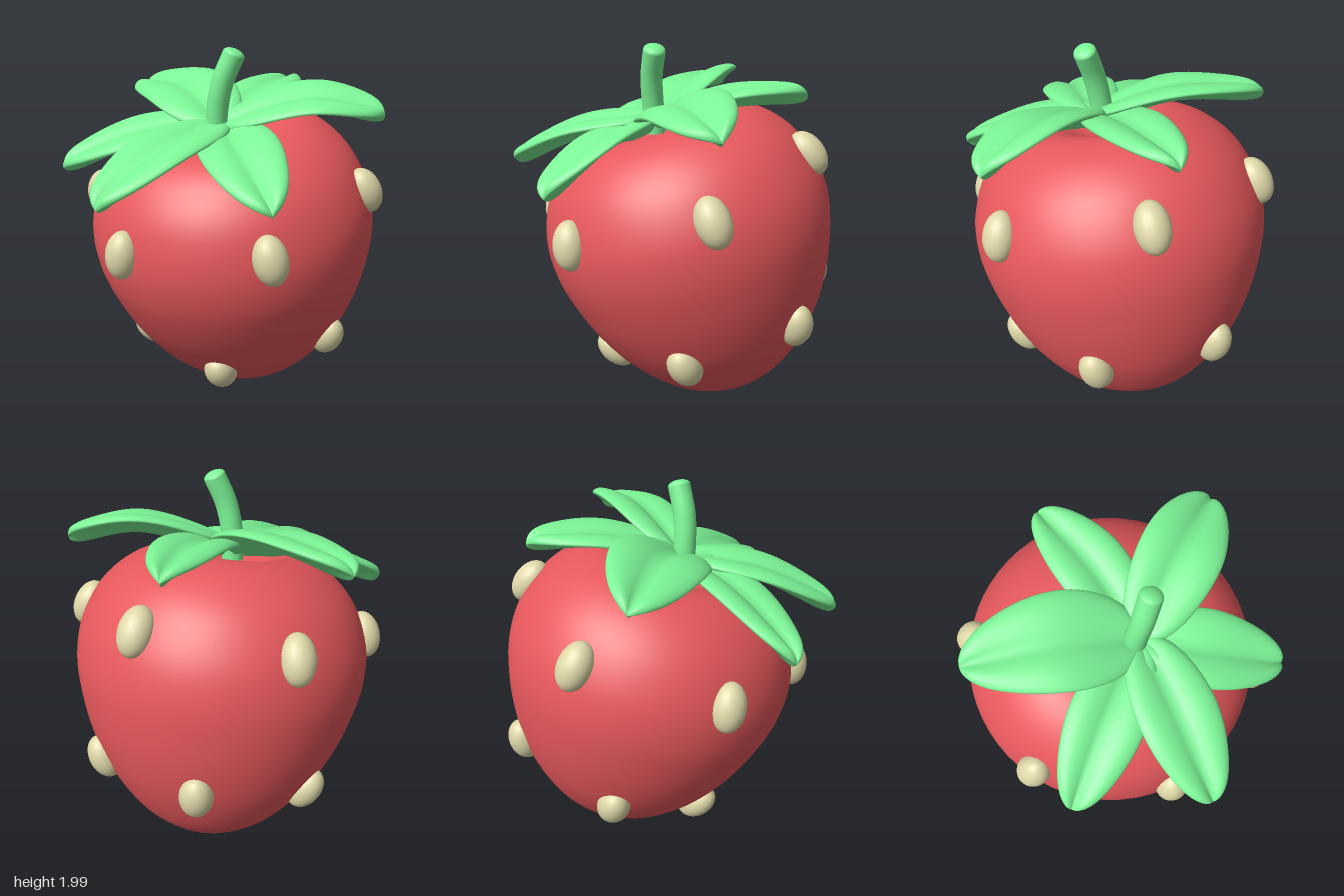
import * as THREE from 'three';

const V = (x, y, z) => new THREE.Vector3(x, y, z);
const mat = (color) => new THREE.MeshStandardMaterial({ color });
const AXIS = V(-0.18, 1, 0.225).normalize(); // the fruit leans to one side

// Half outline of the fruit (radius, height), from the tip to the dimple
const PROFILE = new THREE.SplineCurve([
  [0, 0], [0.14, 0.02], [0.27, 0.075], [0.43, 0.2], [0.585, 0.4], [0.685, 0.6], [0.75, 0.8],
  [0.785, 1.0], [0.768, 1.2], [0.68, 1.4], [0.54, 1.54], [0.39, 1.607], [0.26, 1.6], [0.12, 1.53], [0, 1.48],
].map(([r, y]) => new THREE.Vector2(r, y))).getPoints(70);
PROFILE.forEach((p) => { p.x = Math.max(p.x, 0); });

// Seed centres, snapped to the skin below
const SEEDS = [
  [-0.585, 1.0, 0.41], [0.12, 1.06, 0.71], [0.71, 1.29, 0.3], [0.55, 0.41, 0.32],
  [-0.07, 0.26, 0.36], [0.82, 0.59, -0.24], [-0.42, 0.31, -0.2], [-0.7, 1.17, -0.32],
  [-0.1, 1.37, -0.75], [0.6, 1.44, -0.45], [0.42, 0.63, -0.78], [-0.21, 0.48, -0.66],
];

// Leaves: middle of the midrib, tip, half width
const LEAVES = [
  { mid: [-0.17, 1.71, -0.25], tip: [-0.38, 1.7, -0.68], width: 0.24 },
  { mid: [0.25, 1.7, -0.2], tip: [0.48, 1.72, -0.52], width: 0.18 },
  { mid: [0.42, 1.71, 0.22], tip: [0.78, 1.65, 0.31], width: 0.21 },
  { mid: [0.02, 1.5, 0.45], tip: [0.1, 1.32, 0.83], width: 0.2 },
  { mid: [-0.36, 1.5, 0.36], tip: [-0.68, 1.31, 0.6], width: 0.2 },
  { mid: [-0.45, 1.52, 0.02], tip: [-0.86, 1.35, -0.06], width: 0.19 },
];

// Plump folded leaf: sections with two raised lobes beside a creased midrib
function leafGeometry({ mid, tip, width }) {
  const rib = new THREE.CatmullRomCurve3([V(-0.02, 1.57, 0.1), V(...mid), V(...tip)]);
  const rows = 36, ring = 32, pos = [], index = [];
  for (let i = 0; i <= rows; i++) {
    const t = 0.5 - 0.5 * Math.cos((Math.PI * i) / rows);
    const p = rib.getPoint(t), dir = rib.getTangent(t);
    const side = dir.clone().cross(AXIS).normalize();
    const up = side.clone().cross(dir);
    const round = Math.sqrt(Math.max(1 - (2 * t - 1) ** 10, 0.0004));
    const half = width * Math.sin(Math.PI * (0.15 + 0.75 * t)) ** 0.9 * round;
    for (let j = 0; j < ring; j++) {
      const a = (j / ring) * Math.PI * 2, c = Math.cos(a);
      const lobes = 0.12 * Math.abs(c) - 0.075 * c * c;
      const lift = round * (lobes + 0.036 * Math.sin(a));
      const v = p.clone().addScaledVector(side, half * c).addScaledVector(up, lift);
      pos.push(v.x, v.y, v.z);
      if (i < rows) {
        const k = i * ring + j, n = i * ring + ((j + 1) % ring);
        index.push(k, k + ring, n, n, k + ring, n + ring);
      }
    }
  }
  const g = new THREE.BufferGeometry();
  g.setAttribute('position', new THREE.Float32BufferAttribute(pos, 3));
  g.setIndex(index);
  g.computeVertexNormals();
  return g;
}

export function createModel() {
  const model = new THREE.Group();
  const red = mat(0xe6585c), green = mat(0x7cf596), cream = mat(0xded7a8);

  // Fruit, leaning about its tip
  const fruit = new THREE.Group();
  fruit.name = 'fruit';
  fruit.position.set(0.237, 0.022, -0.288);
  fruit.quaternion.setFromUnitVectors(V(0, 1, 0), AXIS);
  fruit.updateMatrixWorld(true);
  model.add(fruit);
  const flesh = new THREE.Mesh(new THREE.LatheGeometry(PROFILE, 64), red);
  flesh.name = 'flesh';
  fruit.add(flesh);

  // Seeds, half sunk into the skin and aligned with its slope
  const seedGeometry = new THREE.SphereGeometry(1, 24, 16).scale(0.088, 0.128, 0.085);
  for (const s of SEEDS) {
    const local = fruit.worldToLocal(V(...s));
    const angle = Math.atan2(local.z, local.x);
    const flat = new THREE.Vector2(Math.hypot(local.x, local.z), local.y);
    let k = 1;
    for (let i = 1; i < PROFILE.length - 1; i++) {
      if (PROFILE[i].distanceTo(flat) < PROFILE[k].distanceTo(flat)) k = i;
    }
    const slope = PROFILE[k + 1].clone().sub(PROFILE[k - 1]).normalize();
    const place = (r, y) => V(r * Math.cos(angle), y, r * Math.sin(angle));
    const along = place(slope.x, slope.y), out = place(slope.y, -slope.x);
    const seed = new THREE.Mesh(seedGeometry, cream);
    seed.name = 'seed';
    seed.position.copy(place(PROFILE[k].x, PROFILE[k].y));
    seed.quaternion.setFromRotationMatrix(
      new THREE.Matrix4().makeBasis(along.clone().cross(out), along, out));
    fruit.add(seed);
  }

  // Crown of leaves
  const crown = new THREE.Group();
  crown.name = 'crown';
  for (const l of LEAVES) {
    const leaf = new THREE.Mesh(leafGeometry(l), green);
    leaf.name = 'leaf';
    crown.add(leaf);
  }
  model.add(crown);

  // Bent stem with a softly rounded end
  const path = new THREE.CatmullRomCurve3([
    V(-0.05, 1.52, 0.08), V(-0.05, 1.66, 0.09), V(-0.025, 1.82, 0.115), V(0.03, 1.96, 0.135)]);
  const stem = new THREE.Mesh(new THREE.TubeGeometry(path, 24, 0.058, 24), green);
  stem.name = 'stem';
  const cap = new THREE.Mesh(new THREE.SphereGeometry(0.058, 24, 12).scale(1, 0.5, 1), green);
  cap.name = 'stemEnd';
  cap.position.copy(path.getPoint(1));
  cap.quaternion.setFromUnitVectors(V(0, 1, 0), path.getTangent(1));
  model.add(stem, cap);

  return model;
}
